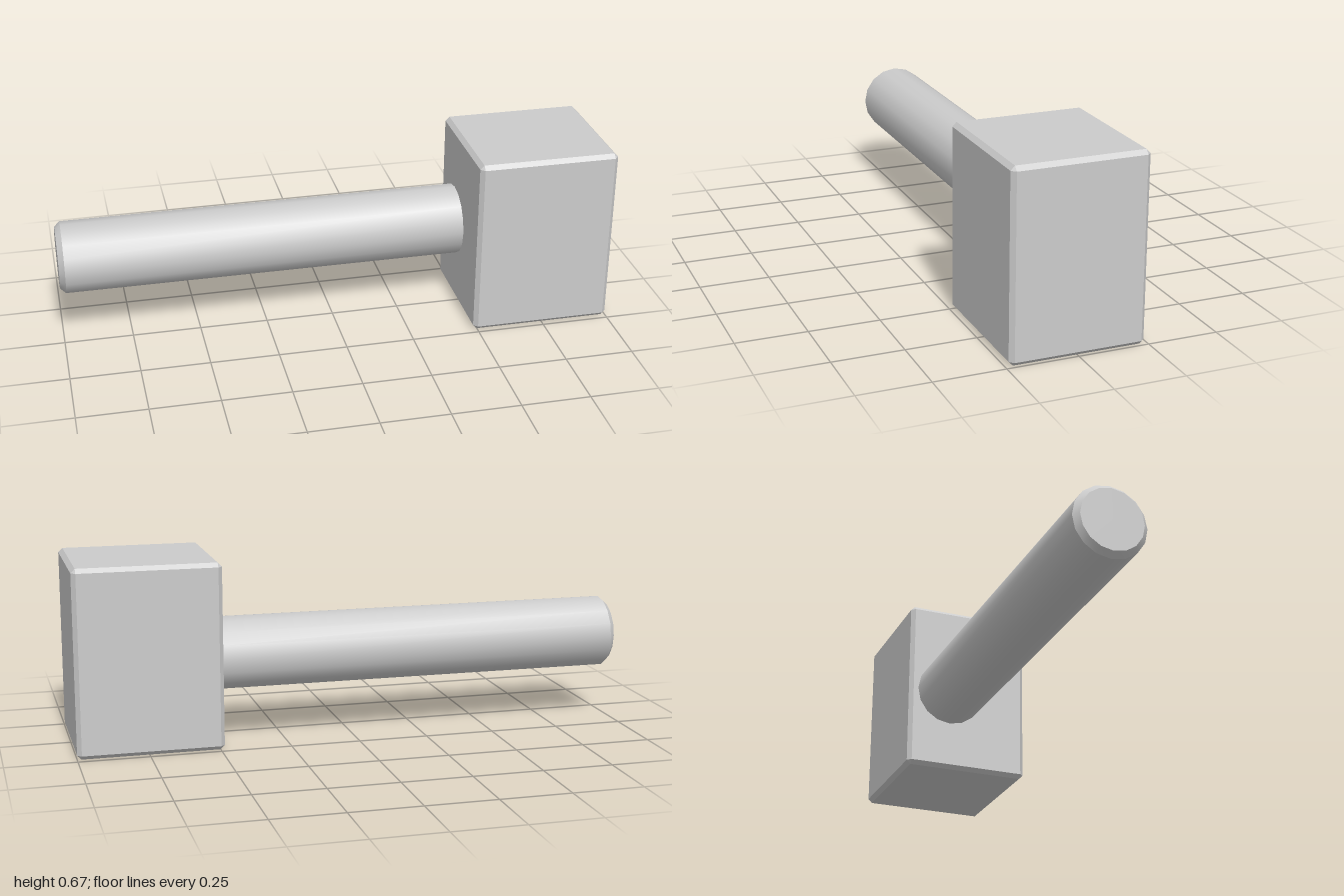
import * as THREE from 'three';
import { ConvexGeometry } from 'three/addons/geometries/ConvexGeometry.js';
import { toCreasedNormals } from 'three/addons/utils/BufferGeometryUtils.js';

const material = new THREE.MeshStandardMaterial({ color: 0xcccccc });

// Box whose edges and corners are cut by a flat chamfer
function chamferedBox(w, h, d, c) {
  const points = [];
  for (const x of [-w / 2, w / 2])
    for (const y of [-h / 2, h / 2])
      for (const z of [-d / 2, d / 2]) {
        const ix = x - Math.sign(x) * c;
        const iy = y - Math.sign(y) * c;
        const iz = z - Math.sign(z) * c;
        points.push(
          new THREE.Vector3(x, iy, iz),
          new THREE.Vector3(ix, y, iz),
          new THREE.Vector3(ix, iy, z)
        );
      }
  return new ConvexGeometry(points);
}

export function createModel() {
  const model = new THREE.Group();
  model.name = 'mallet';

  // Heavy block head, standing on the ground
  const head = new THREE.Mesh(chamferedBox(0.515, 0.665, 0.476, 0.015), material);
  head.name = 'head';
  head.position.set(0.7425, 0.3325, 0);
  model.add(head);

  // Round handle with a chamfered free end, set towards the back of the head
  const profile = [[0, 0], [0.112, 0], [0.131, 0.02], [0.131, 1.5], [0, 1.5]]
    .map(([r, y]) => new THREE.Vector2(r, y));
  const shaft = toCreasedNormals(new THREE.LatheGeometry(profile, 16), 0.5);
  shaft.rotateZ(-Math.PI / 2);
  const handle = new THREE.Mesh(shaft, material);
  handle.name = 'handle';
  handle.position.set(-1, 0.314, -0.073);
  model.add(handle);

  return model;
}
